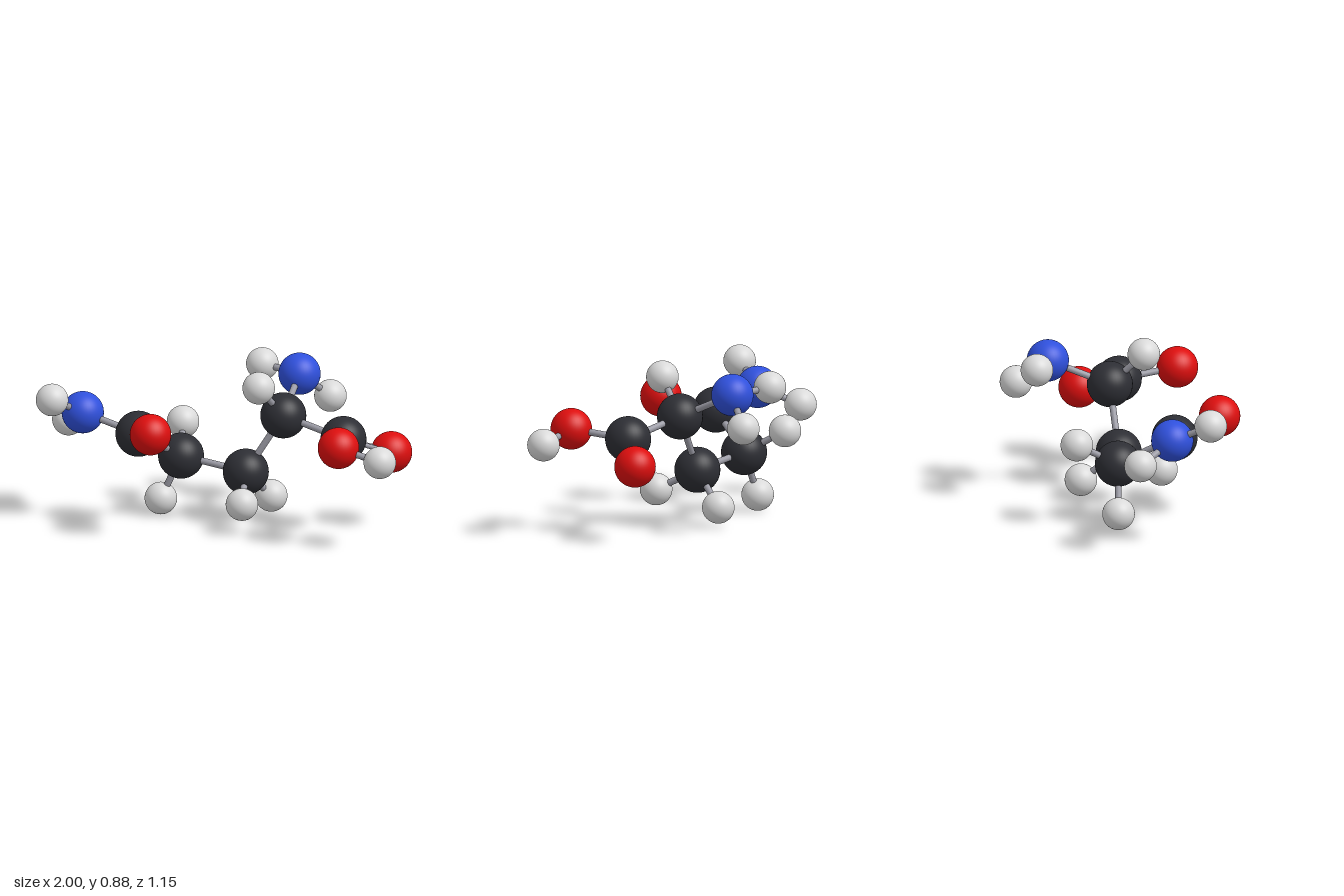
import * as THREE from 'three';

const material = (name, color) => {
  const m = new THREE.MeshStandardMaterial({ color });
  m.name = name;
  return m;
};

export function createModel() {
  const model = new THREE.Group();
  model.name = 'ballAndStickMolecule';

  // Ball types: name, radius, colour
  const kinds = {
    C: { name: 'carbon', radius: 0.123, mat: material('charcoal', 0x2d2e34) },
    N: { name: 'nitrogen', radius: 0.113, mat: material('blue', 0x2f50dc) },
    O: { name: 'oxygen', radius: 0.111, mat: material('red', 0xdd0e0e) },
    H: { name: 'hydrogen', radius: 0.087, mat: material('pale grey', 0xd9d9d9) },
  };
  const bondMat = material('bond grey', 0x9c9ca6);

  // Atoms: kind and centre
  const atoms = {
    amideN: ['N', -0.782, 0.6, 0.12],
    amideH1: ['H', -0.912, 0.708, 0.304],
    amideH2: ['H', -0.9, 0.505, -0.077],
    amideC: ['C', -0.463, 0.517, 0.196],
    amideO: ['O', -0.343, 0.587, 0.465],
    chainC1: ['C', -0.286, 0.335, -0.078],
    chainH1: ['H', -0.4, 0.09, -0.097],
    chainH2: ['H', -0.322, 0.463, -0.309],
    chainC2: ['C', 0.083, 0.286, 0],
    chainH3: ['H', 0.11, 0.166, 0.238],
    chainH4: ['H', 0.184, 0.112, -0.186],
    alphaC: ['C', 0.286, 0.605, -0.008],
    alphaH: ['H', 0.185, 0.792, 0.157],
    amineN: ['N', 0.307, 0.751, -0.342],
    amineH1: ['H', 0.083, 0.769, -0.446],
    amineH2: ['H', 0.446, 0.6, -0.488],
    acidC: ['C', 0.638, 0.523, 0.111],
    acidO1: ['O', 0.865, 0.42, -0.06],
    acidO2: ['O', 0.677, 0.558, 0.438],
    acidH: ['H', 0.91, 0.5, 0.477],
  };

  // Bonds: the two atoms, and 2 for a double bond
  const bonds = [
    ['amideN', 'amideH1'], ['amideN', 'amideH2'], ['amideN', 'amideC'],
    ['amideC', 'amideO', 2], ['amideC', 'chainC1'],
    ['chainC1', 'chainH1'], ['chainC1', 'chainH2'], ['chainC1', 'chainC2'],
    ['chainC2', 'chainH3'], ['chainC2', 'chainH4'], ['chainC2', 'alphaC'],
    ['alphaC', 'alphaH'], ['alphaC', 'amineN'], ['alphaC', 'acidC'],
    ['amineN', 'amineH1'], ['amineN', 'amineH2'],
    ['acidC', 'acidO1', 2], ['acidC', 'acidO2'], ['acidO2', 'acidH'],
  ];

  for (const kind of Object.values(kinds)) {
    kind.geometry = new THREE.SphereGeometry(kind.radius, 40, 28);
  }
  for (const [name, [symbol, x, y, z]] of Object.entries(atoms)) {
    const kind = kinds[symbol];
    const ball = new THREE.Mesh(kind.geometry, kind.mat);
    ball.name = `${kind.name} ball ${name}`;
    ball.position.set(x, y, z);
    model.add(ball);
  }

  // Rods run between ball centres; double bonds are two thinner rods side by side
  const up = new THREE.Vector3(0, 1, 0);
  for (const [from, to, order = 1] of bonds) {
    const a = new THREE.Vector3(...atoms[from].slice(1));
    const b = new THREE.Vector3(...atoms[to].slice(1));
    const dir = b.clone().sub(a);
    const length = dir.length();
    dir.normalize();
    const side = dir.clone().cross(up).normalize();
    const radius = order === 2 ? 0.013 : 0.018;
    for (const offset of order === 2 ? [-0.019, 0.019] : [0]) {
      const rod = new THREE.Mesh(new THREE.CylinderGeometry(radius, radius, length, 16, 1, true), bondMat);
      rod.name = `bond ${from} to ${to}`;
      rod.position.copy(a).add(b).multiplyScalar(0.5).addScaledVector(side, offset);
      rod.quaternion.setFromUnitVectors(up, dir);
      model.add(rod);
    }
  }
  return model;
}
